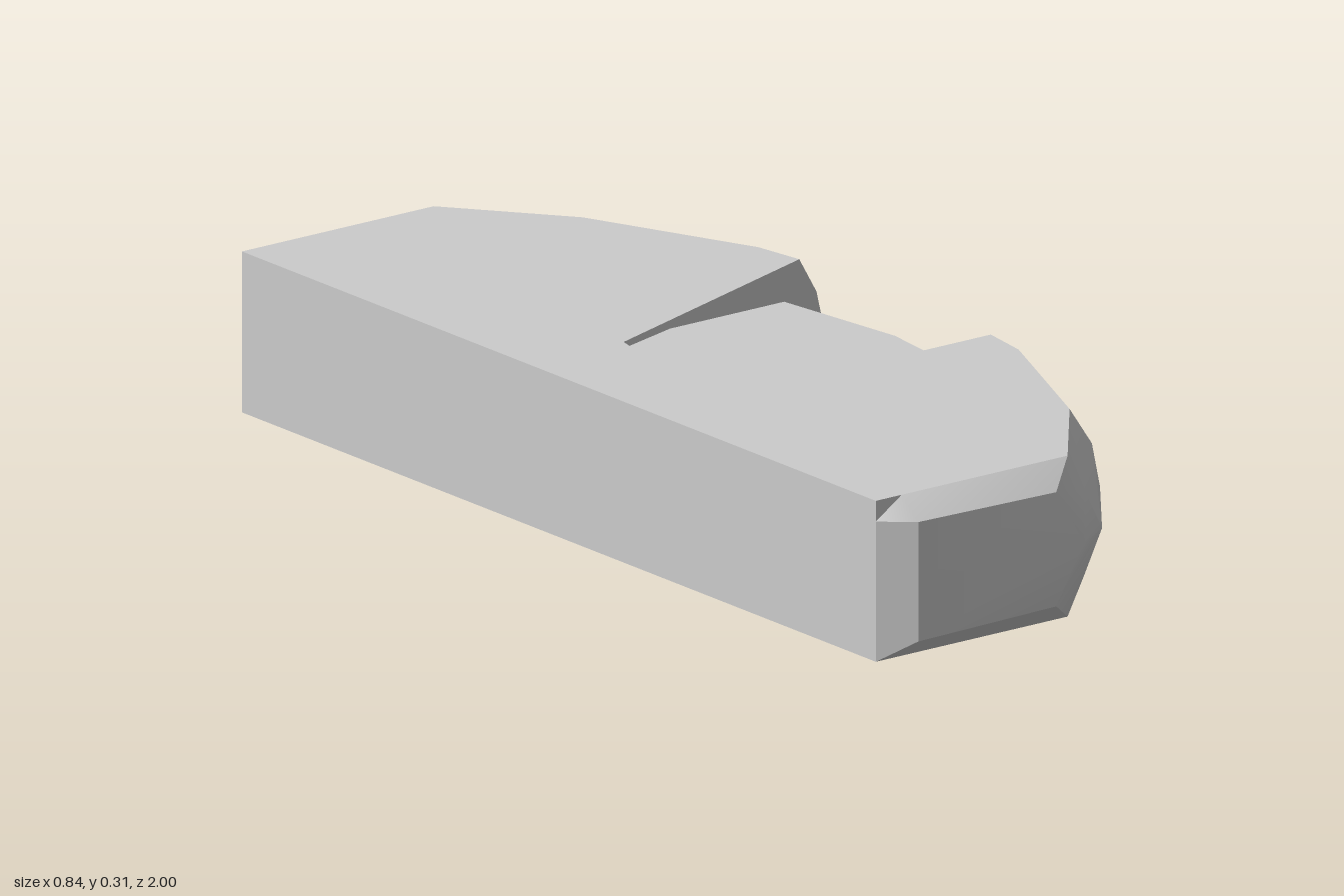
import * as THREE from 'three';
import { mergeVertices, toCreasedNormals } from 'three/addons/utils/BufferGeometryUtils.js';

const H = 0.31, FLOOR = 0.235, CEIL = 0.08, MID = H / 2;

// Surface through rows of [x, y, z]; rows run rightward and columns upward as seen from outside
function skin(rows, crease = 0.6) {
  const n = rows[0].length, index = [];
  for (let r = 0; r < rows.length - 1; r++) {
    for (let c = 0; c < n - 1; c++) {
      const a = r * n + c, b = a + n;
      index.push(a, b, b + 1, a, b + 1, a + 1);
    }
  }
  const g = new THREE.BufferGeometry();
  g.setAttribute('position', new THREE.Float32BufferAttribute(rows.flat(2), 3));
  g.setIndex(index);
  return toCreasedNormals(mergeVertices(g), crease);
}

// Flat horizontal face from [x, z] points, looking up or down
function cap(points, y, up) {
  const s = up ? -1 : 1;
  const shape = new THREE.Shape(points.map(([x, z]) => new THREE.Vector2(x, s * z)));
  return new THREE.ShapeGeometry(shape).rotateX(s * Math.PI / 2).translate(0, y, 0);
}

// Outer edge sections, from the back corner to the lip: rim, shoulder and widest point
const stations = [
  { rim: [-0.42, 0.95], shoulder: [-0.42, 0.27, 0.95], mid: [-0.42, 0.95] },
  { rim: [-0.36, 0.95], shoulder: [-0.36, 0.27, 1], mid: [-0.36, 1] },
  { rim: [0.025, 0.95], shoulder: [-0.04, 0.265, 1], mid: [0.025, 1] },
  { rim: [0.025, 0.95], shoulder: [0.065, 0.235, 0.95], mid: [0.105, 0.95] },
  { rim: [0.20, 0.73], shoulder: [0.24, 0.24, 0.745], mid: [0.255, 0.75] },
  { rim: [0.345, 0.39], shoulder: [0.385, 0.24, 0.395], mid: [0.40, 0.40] },
  { rim: [0.36, 0.287], shoulder: [0.40, 0.24, 0.287], mid: [0.42, 0.287] },
];
const section = ({ rim, shoulder: [sx, sy, sz], mid }) => [
  [rim[0], 0, rim[1]], [sx, H - sy, sz], [mid[0], MID, mid[1]], [sx, sy, sz], [rim[0], H, rim[1]],
];

// Curved pocket outline from the front lip round to the rear lip
const halfArc = [[0.36, 0.287], [0.06, 0.287], [-0.08, 0.245], [-0.185, 0.14]];
const flip = ([x, z]) => [x, -z];
const arc = [...halfArc, [-0.22, 0], ...halfArc.map(flip).reverse()];

export function createModel() {
  const model = new THREE.Group();
  const material = new THREE.MeshStandardMaterial({ color: 0xcccccc });
  const add = (name, geometry) => {
    const mesh = new THREE.Mesh(geometry, material);
    mesh.name = name;
    model.add(mesh);
  };

  // Rounded outer edge, mirrored front to rear
  const frontRows = stations.map(section);
  const rearRows = frontRows.map(row => row.map(([x, y, z]) => [x, y, -z])).reverse();
  add('frontOuterEdge', skin(frontRows));
  add('rearOuterEdge', skin(rearRows));

  // Flat long side
  add('flatSide', skin([rearRows.at(-1), frontRows[0]]));

  // Top and bottom faces; the top one covers part of the pocket with a straight edge
  const rims = stations.map(s => s.rim).filter((p, i) => i !== 1 && i !== 3);
  const rearRims = rims.map(flip).reverse();
  const topNotch = [...arc.slice(1, 5), [-0.20, -0.09]];
  add('topFace', cap([...rims, ...topNotch, ...rearRims], H, true));
  add('bottomFace', cap([...rims, ...arc.slice(1, -1), ...rearRims], 0, false));

  // Pocket walls above and below the web
  for (const [name, y0, y1] of [['upperPocketWall', FLOOR, H], ['lowerPocketWall', 0, CEIL]]) {
    add(name, skin(arc.map(([x, z]) => [[x, y0, z], [x, y1, z]])));
  }

  // Thin web between the pockets with a rounded outer edge
  const webArc = [[0.325, 0.287], ...arc.slice(1, -1), [0.325, -0.287], [0.36, 0]];
  add('webTop', cap(webArc, FLOOR, true));
  add('webBottom', cap(webArc, CEIL, false));
  const webProfile = [[0, CEIL], [0.027, 0.11], [0.04, MID], [0.027, 0.205], [0, FLOOR]];
  const webEnds = [[0.325, 0.287], [0.36, 0], [0.325, -0.287]];
  add('webEdge', skin(webEnds.map(([x, z]) => webProfile.map(([dx, y]) => [x + dx, y, z]))));

  // End faces of the two lips beside the web
  const lip = [...section(stations.at(-1)).map(([x, y]) => [x, y]),
    [0.36, FLOOR], [0.325, FLOOR], [0.325, CEIL], [0.36, CEIL]];
  const lipFace = s => new THREE.ShapeGeometry(
    new THREE.Shape(lip.map(([x, y]) => new THREE.Vector2(s * x, y))));
  add('rearLipEnd', lipFace(1).translate(0, 0, -0.287));
  add('frontLipEnd', lipFace(-1).rotateY(Math.PI).translate(0, 0, 0.287));

  return model;
}
